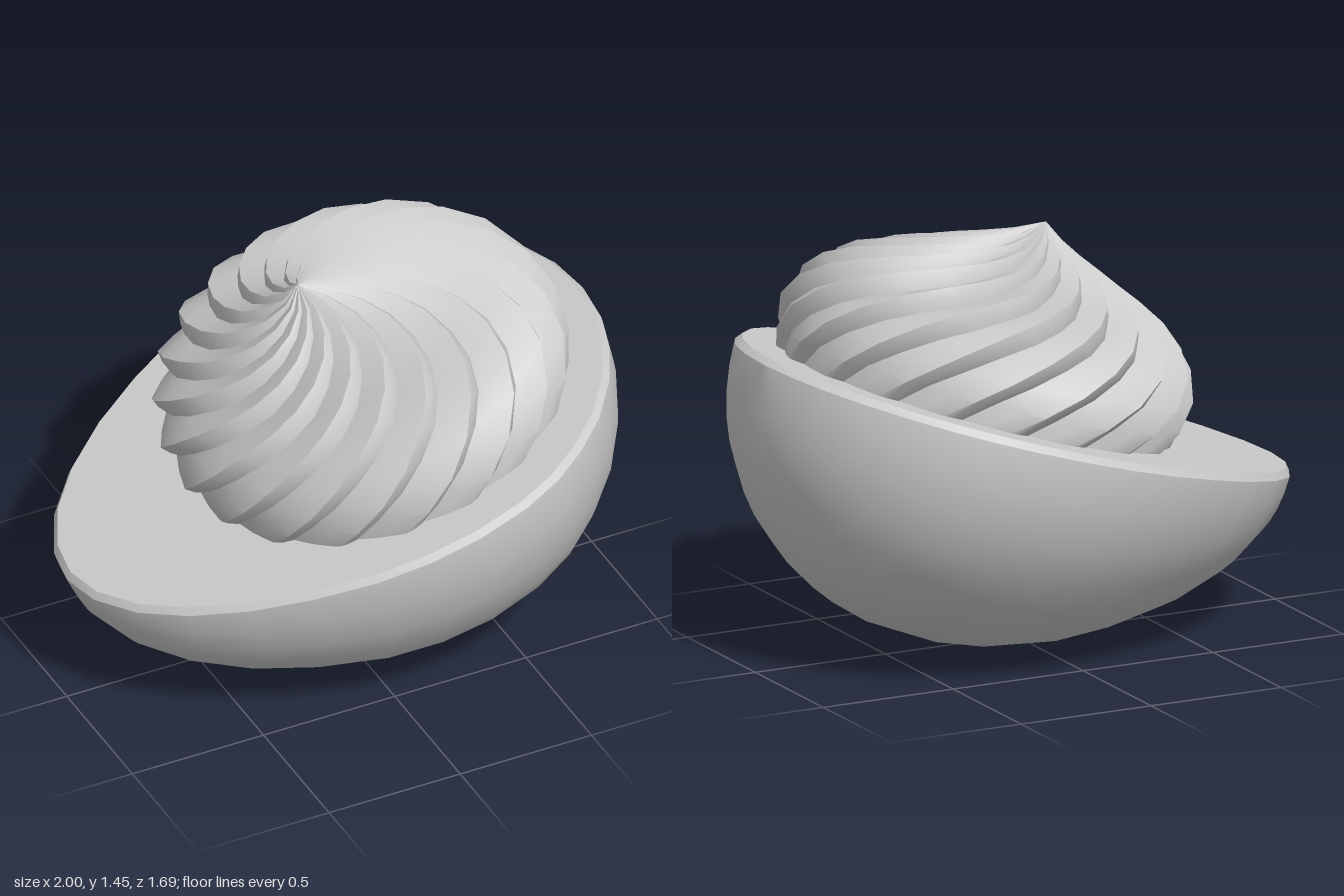
import * as THREE from 'three';
import { toCreasedNormals } from 'three/addons/utils/BufferGeometryUtils.js';

const material = new THREE.MeshStandardMaterial({ color: 0xcccccc });

// Skin rows of points (first row is a single repeated centre point), columns counterclockwise from above
function skin(rows, crease) {
  const n = rows[0].length, index = [];
  for (let i = 0; i < rows.length - 1; i++) {
    for (let j = 0; j < n; j++) {
      const k = (j + 1) % n;
      const a = i * n + j, b = a + n, c = (i + 1) * n + k, d = i * n + k;
      index.push(a, b, c);
      if (i > 0) index.push(a, c, d);
    }
  }
  const g = new THREE.BufferGeometry();
  g.setAttribute('position', new THREE.Float32BufferAttribute(rows.flat(2), 3));
  g.setIndex(index);
  return toCreasedNormals(g, crease);
}

function addMesh(group, name, geometry) {
  const mesh = new THREE.Mesh(geometry, material);
  mesh.name = name;
  group.add(mesh);
}

// Egg outline: distance along the axis, radius
const EGG = [[0, 0], [0.027, 0.154], [0.113, 0.316], [0.247, 0.461], [0.426, 0.594], [0.624, 0.7],
  [0.829, 0.783], [1.02, 0.828], [1.207, 0.843], [1.4, 0.825], [1.55, 0.78], [1.68, 0.707],
  [1.8, 0.61], [1.91, 0.475], [1.985, 0.335], [2.035, 0.175], [2.053, 0]];
const BEVEL = 0.025;

// Half egg below the cut
function eggShell() {
  const g = new THREE.LatheGeometry(EGG.map(([u, r]) => new THREE.Vector2(r, u)), 16, 0, Math.PI);
  g.rotateZ(-Math.PI / 2);
  g.scale(1, 0.975, 1);
  g.translate(0, -BEVEL, 0);
  return g;
}

// Flat cut with a narrow bevelled rim
function cutFace() {
  const back = [...EGG].reverse().map(([u, r]) => [u, -r]);
  const outline = [...back, ...EGG.slice(1, -1)];
  const mid = 1.03, inset = 0.98;
  return skin([
    outline.map(() => [mid, 0, 0]),
    outline.map(([u, z]) => [mid + (u - mid) * inset, 0, z * inset]),
    outline.map(([u, z]) => [u, -BEVEL, z]),
  ], 0.3);
}

// Piped filling: dome with soft, leaning spiral ridges
function swirl() {
  const profile = new THREE.CatmullRomCurve3(
    [[0, 0.64], [0.1, 0.585], [0.22, 0.537], [0.4, 0.468], [0.57, 0.39], [0.68, 0.295],
      [0.727, 0.18], [0.725, 0.09], [0.69, -0.02]].map(([r, v]) => new THREE.Vector3(r, v, 0)));
  const lobes = 18, steps = 11, depth = 0.055;
  const ridge = [[0, 0], [0.35, 0.5], [0.7, 1], [0.87, 0.55]];
  const rows = [];
  for (let i = 0; i <= steps; i++) {
    const t = i / steps;
    const p = profile.getPointAt(t), tan = profile.getTangentAt(t);
    const amount = depth * Math.min(1, t * 2.2, 0.45 + (1 - t) * 2.5);
    const shift = -0.1 * (1 - t) ** 2;
    const row = [];
    for (let l = 0; l < lobes; l++) {
      for (const [s, h] of ridge) {
        const a = 1.8 * t - (2 * Math.PI * (l + s)) / lobes;
        const cut = amount * (1 - h);
        const r = Math.max(0, p.x + tan.y * cut), v = p.y - tan.x * cut;
        row.push([1.22 + shift + r * Math.cos(a), v, r * Math.sin(a)]);
      }
    }
    rows.push(row);
  }
  return skin(rows, 0.75);
}

export function createModel() {
  const model = new THREE.Group();
  model.name = 'filledEggHalf';
  const egg = new THREE.Group();
  egg.name = 'tiltedEgg';
  addMesh(egg, 'eggWhite', eggShell());
  addMesh(egg, 'cutFace', cutFace());
  addMesh(egg, 'swirledFilling', swirl());
  egg.rotation.z = 0.293;
  egg.position.set(-1, 0.515, 0);
  model.add(egg);

  // Rest on the ground and centre
  model.updateMatrixWorld(true);
  const box = new THREE.Box3().setFromObject(model, true);
  egg.position.x -= (box.min.x + box.max.x) / 2;
  egg.position.y -= box.min.y;
  return model;
}
